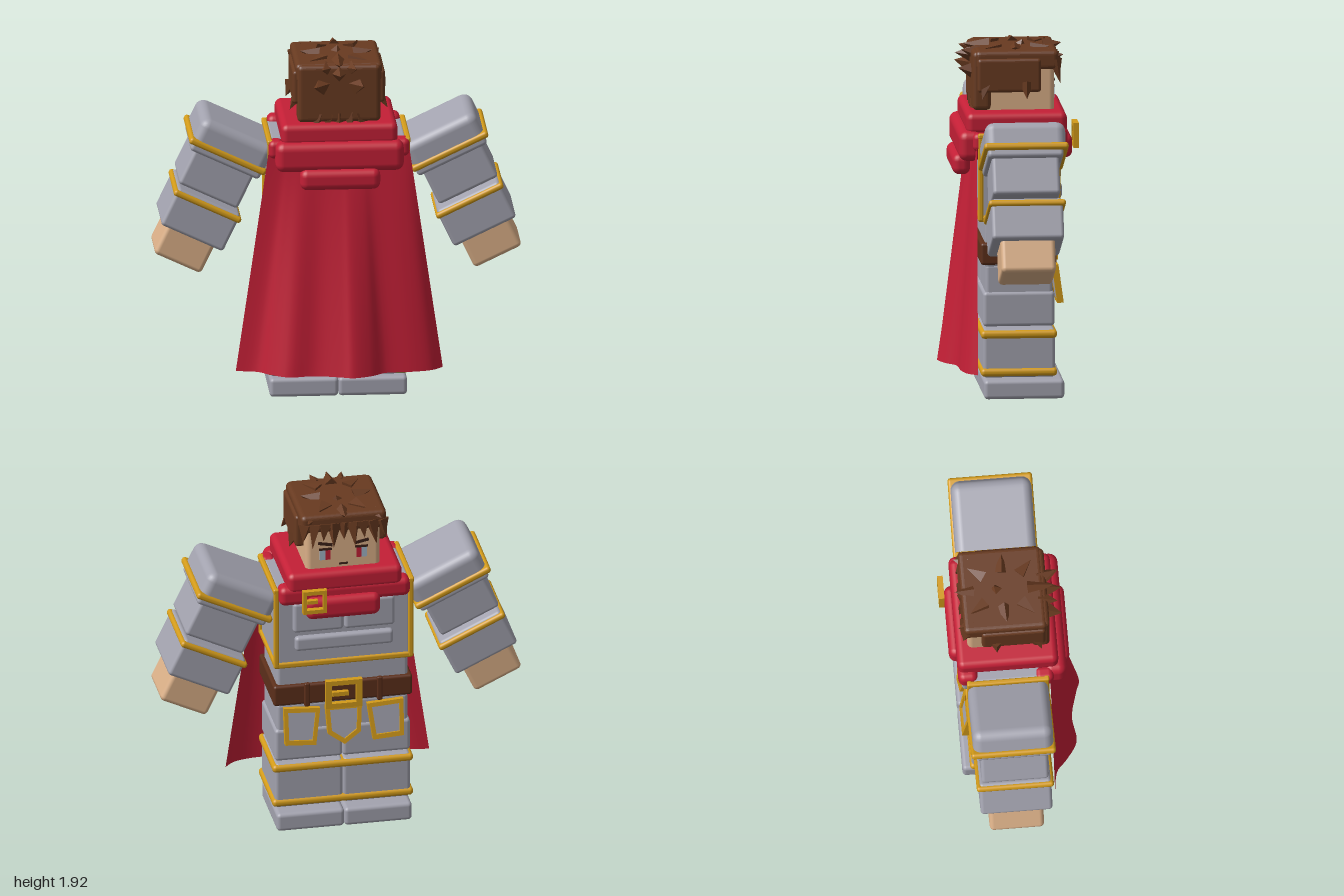
import * as THREE from 'three';
import { RoundedBoxGeometry } from 'three/addons/geometries/RoundedBoxGeometry.js';

const mat = (name, color, extra = {}) => {
  const m = new THREE.MeshStandardMaterial({ color, ...extra });
  m.name = name;
  return m;
};

export function createModel() {
  const root = new THREE.Group();
  root.name = 'cloakedKnight';
  const silver = mat('silver', 0xa3a3af);
  const red = mat('red', 0xc41f36);
  const cloth = mat('capeRed', 0xc41f36, { side: THREE.DoubleSide });
  const gold = mat('gold', 0xd39b1a);
  const hairBrown = mat('hairBrown', 0x683a20, { flatShading: true });
  const leather = mat('leather', 0x5c2f1a);
  const skin = mat('skin', 0xdbb088);
  const eyeBlue = mat('eyeBlue', 0xa3b6c8);
  const dark = mat('darkBrown', 0x3a2018);

  const add = (parent, name, geo, m) => {
    const mesh = new THREE.Mesh(geo, m);
    mesh.name = name;
    parent.add(mesh);
    return mesh;
  };
  // rounded box given by its extents on each axis
  const box = (parent, name, m, [x0, x1], [y0, y1], [z0, z1], r = 0.02) => {
    const w = x1 - x0, h = y1 - y0, d = z1 - z0;
    const rad = Math.min(r, w * 0.49, h * 0.49, d * 0.49);
    const mesh = add(parent, name, new RoundedBoxGeometry(w, h, d, 3, rad), m);
    mesh.position.set((x0 + x1) / 2, (y0 + y1) / 2, (z0 + z1) / 2);
    return mesh;
  };
  const plate = (parent, name, m, w, h, x, y, z) => {
    const mesh = add(parent, name, new THREE.BoxGeometry(w, h, 0.008), m);
    mesh.position.set(x, y, z);
    return mesh;
  };
  const sym = (w) => [-w, w];
  const span = (s, a, b) => (s > 0 ? [a, b] : [-b, -a]);

  // Legs and feet
  for (const s of [1, -1]) {
    const leg = new THREE.Group();
    leg.name = s > 0 ? 'leftLeg' : 'rightLeg';
    root.add(leg);
    box(leg, 'foot', silver, span(s, 0, 0.372), [0, 0.105], [-0.285, 0.15], 0.022);
    box(leg, 'shin', silver, span(s, 0, 0.372), [0.12, 0.385], [-0.235, 0.155]);
    box(leg, 'knee', silver, span(s, 0, 0.372), [0.4, 0.59], [-0.232, 0.155]);
    box(leg, 'thigh', silver, span(s, 0, 0.36), [0.55, 0.74], [-0.222, 0.142]);
  }
  for (const y of [0.15, 0.357])
    box(root, 'legBand', gold, sym(0.387), [y - 0.022, y + 0.022], [-0.245, 0.168]);

  // Torso with gilded breastplate
  box(root, 'abdomen', silver, sym(0.36), [0.72, 1.02], [-0.222, 0.145]);
  box(root, 'breastplate', silver, sym(0.37), [0.98, 1.45], [-0.25, 0.17]);
  box(root, 'breastplateHem', gold, sym(0.382), [0.975, 1.01], [-0.26, 0.182], 0.012);
  for (const s of [1, -1]) {
    box(root, 'frontTrim', gold, span(s, 0.355, 0.385), [0.98, 1.46], [-0.262, -0.235], 0.01);
    box(root, 'backTrim', gold, span(s, 0.355, 0.385), [0.98, 1.46], [0.155, 0.184], 0.01);
    box(root, 'shoulderTrim', gold, span(s, 0.36, 0.388), [1.43, 1.46], [-0.262, 0.184], 0.01);
    box(root, 'chestPlate', silver, span(s, 0.002, 0.28), [1.19, 1.37], [-0.275, -0.2], 0.02);
  }
  box(root, 'chestBar', silver, sym(0.27), [1.08, 1.165], [-0.28, -0.22], 0.02);

  // Belt, loops and buckle
  box(root, 'belt', leather, sym(0.382), [0.74, 0.86], [-0.242, 0.17], 0.015);
  for (const s of [1, -1])
    box(root, 'beltLoop', leather, span(s, 0.185, 0.215), [0.73, 0.87], [-0.255, -0.23], 0.008);

  // A flat outline, extruded towards the face side (-z)
  const slab = (pts, depth, hole) => {
    const shape = new THREE.Shape(pts.map(([x, y]) => new THREE.Vector2(x, y)));
    if (hole) shape.holes.push(new THREE.Path(hole.map(([x, y]) => new THREE.Vector2(x, y))));
    return new THREE.ExtrudeGeometry(shape, { depth, bevelEnabled: false }).translate(0, 0, -depth);
  };
  const rect = (w, h) => [[-w, -h], [w, -h], [w, h], [-w, h]];
  const scaled = (pts, k) => pts.map(([x, y]) => [x * k, y * k]);
  const buckle = (name, x, y, z, w, h) => {
    const frame = add(root, name, slab(rect(w, h), 0.03, rect(w * 0.68, h * 0.66)), gold);
    frame.position.set(x, y, z);
    const prong = add(frame, 'prong', new THREE.BoxGeometry(w * 0.9, h * 0.3, 0.025), gold);
    prong.position.set(w * 0.2, 0, -0.014);
  };
  buckle('beltBuckle', 0, 0.797, -0.243, 0.1, 0.082);

  // Tassets hanging under the belt
  const side = [[-0.085, -0.11], [0.085, -0.11], [0.1, 0.1], [-0.1, 0.1]];
  const middle = [[0, -0.125], [0.09, -0.06], [0.1, 0.1], [-0.1, 0.1], [-0.09, -0.06]];
  for (const [x, pts, roll] of [[0.235, side, 0.06], [0, middle, 0], [-0.235, side, -0.06]]) {
    const t = new THREE.Group();
    t.name = 'tasset';
    t.position.set(x, 0.62, -0.235);
    t.rotation.set(0.14, 0, roll);
    root.add(t);
    add(t, 'tassetFrame', slab(pts, 0.035, scaled(pts, 0.76)), gold);
    add(t, 'tassetPlate', slab(scaled(pts, 0.77), 0.024), silver);
  }

  // Arms, built hanging straight and then swung outwards
  const arm = (s) => {
    const g = new THREE.Group();
    g.name = s > 0 ? 'leftArm' : 'rightArm';
    g.position.set(s * 0.749, 1.005, 0);
    g.rotation.z = s * THREE.MathUtils.degToRad(25.5);
    root.add(g);
    const part = (name, m, u, w, y, z, r) => box(g, name, m, [s * u - w / 2, s * u + w / 2], y, z, r);
    part('hand', skin, 0, 0.285, [-0.28, -0.08], [-0.188, 0.107], 0.025);
    part('forearm', silver, 0, 0.375, [-0.107, 0.12], [-0.235, 0.155], 0.02);
    part('forearmBand', gold, 0, 0.4, [0.075, 0.11], [-0.25, 0.168], 0.016);
    part('upperArm', silver, 0.02, 0.355, [0.14, 0.36], [-0.222, 0.143], 0.02);
    part('shoulderSkirt', silver, 0.02, 0.415, [0.34, 0.41], [-0.245, 0.165], 0.02);
    part('shoulderBand', gold, 0.025, 0.455, [0.378, 0.415], [-0.272, 0.186], 0.016);
    part('shoulderPad', silver, 0.02, 0.43, [0.365, 0.54], [-0.26, 0.176], 0.05);
  };
  arm(1);
  arm(-1);

  // Scarf rolls around the neck
  box(root, 'scarfTop', red, sym(0.315), [1.44, 1.56], [-0.305, 0.24], 0.035);
  box(root, 'scarfFront', red, sym(0.36), [1.37, 1.48], [-0.305, -0.2], 0.035);
  box(root, 'scarfFrontFold', red, [-0.19, 0.22], [1.29, 1.42], [-0.342, -0.25], 0.04);
  box(root, 'scarfBack', red, sym(0.347), [1.3, 1.465], [0.16, 0.283], 0.045);
  box(root, 'scarfBackFold', red, sym(0.217), [1.205, 1.32], [0.21, 0.308], 0.04);
  for (const s of [1, -1])
    box(root, 'scarfShoulder', red, span(s, 0.3, 0.382), [1.36, 1.46], [0.11, 0.21], 0.03);
  buckle('scarfClasp', 0.18, 1.42, -0.343, 0.066, 0.068);

  // Cape: straight at the top, rippled at the hem
  const hem = new THREE.SplineCurve([
    [-0.56, 0.2], [-0.45, 0.22], [-0.38, 0.28], [-0.28, 0.34], [-0.14, 0.325], [0, 0.36], [0.07, 0.38],
    [0.17, 0.345], [0.25, 0.29], [0.4, 0.28], [0.5, 0.255], [0.56, 0.2],
  ].map(([x, z]) => new THREE.Vector2(x, z)));
  const cape = new THREE.PlaneGeometry(1, 1, 48, 12);
  const pos = cape.attributes.position;
  for (let i = 0; i < pos.count; i++) {
    const k = 0.5 - pos.getY(i);
    const p = hem.getPoint(pos.getX(i) + 0.5);
    pos.setXYZ(i, p.x * (0.67 + 0.33 * k), 1.44 - 1.27 * k, 0.19 + (p.y - 0.19) * k);
  }
  cape.computeVertexNormals();
  add(root, 'cape', cape, cloth);

  // Head and face
  box(root, 'head', skin, sym(0.205), [1.48, 1.85], [-0.245, 0.14], 0.03);
  for (const s of [1, -1]) {
    plate(root, 'eyeWhite', eyeBlue, 0.03, 0.06, s * 0.115, 1.64, -0.246);
    plate(root, 'iris', red, 0.028, 0.06, s * 0.086, 1.64, -0.246);
    plate(root, 'eyelid', dark, 0.07, 0.012, s * 0.1, 1.674, -0.247);
    plate(root, 'eyebrow', dark, 0.08, 0.016, s * 0.1, 1.705, -0.247).rotation.z = s * 0.2;
  }
  plate(root, 'mouth', dark, 0.05, 0.01, 0, 1.58, -0.246);

  // Hair blocks
  box(root, 'hairTop', hairBrown, sym(0.235), [1.78, 1.885], [-0.265, 0.185], 0.025);
  box(root, 'hairBack', hairBrown, sym(0.225), [1.56, 1.88], [0.1, 0.2], 0.025);
  for (const s of [1, -1])
    box(root, 'hairSide', hairBrown, span(s, 0.18, 0.25), [1.66, 1.845], [-0.17, 0.175], 0.018);

  // Hair spikes: base point, direction, length, radius
  const up = new THREE.Vector3(0, 1, 0);
  const spike = (base, dir, len, r) => {
    const d = new THREE.Vector3(...dir).normalize();
    const m = add(root, 'hairSpike', new THREE.ConeGeometry(r, len, 4).translate(0, len / 2, 0), hairBrown);
    m.position.set(...base);
    m.quaternion.setFromUnitVectors(up, d);
  };
  for (let i = -2; i <= 2; i++) // nape
    spike([i * 0.055, 1.6, 0.17], [i * 0.12, -1, 0.35 + (i % 2) * 0.12], i === 0 ? 0.11 : 0.1, 0.04);
  for (let i = -4; i <= 4; i++) // fringe
    spike([i * 0.052, 1.83, -0.245], [i * 0.05, -1, -0.25], i % 2 ? 0.14 : 0.1, 0.042);
  for (const s of [1, -1]) {
    spike([s * 0.09, 1.76, 0.17], [s * 0.35, 0.2, 1], 0.11, 0.06);
    spike([s * 0.06, 1.85, 0.16], [s * 0.3, 0.25, 1], 0.1, 0.045);
    spike([s * 0.235, 1.71, -0.09], [s * 0.4, -1, 0], 0.09, 0.04);
    spike([s * 0.22, 1.7, 0.13], [s * 0.6, -1, 0.3], 0.09, 0.04);
    spike([s * 0.08, 1.87, 0.06], [s, 0.25, 0.9], 0.1, 0.045);
    spike([s * 0.1, 1.87, -0.04], [s, 0.3, 0.1], 0.1, 0.045);
    spike([s * 0.08, 1.87, -0.14], [s * 0.6, 0.3, -1], 0.1, 0.045);
    spike([s * 0.17, 1.85, -0.22], [s * 0.4, 0.1, -1], 0.08, 0.04);
  }
  spike([0, 1.83, 0.16], [0, 0.1, 1], 0.12, 0.06);
  spike([0, 1.87, 0.1], [0, 0.15, 1], 0.14, 0.05);
  spike([0, 1.86, -0.07], [0.2, 1, -0.3], 0.055, 0.05);
  spike([0, 1.87, -0.2], [0, 0.2, -1], 0.1, 0.045);

  return root;
}
